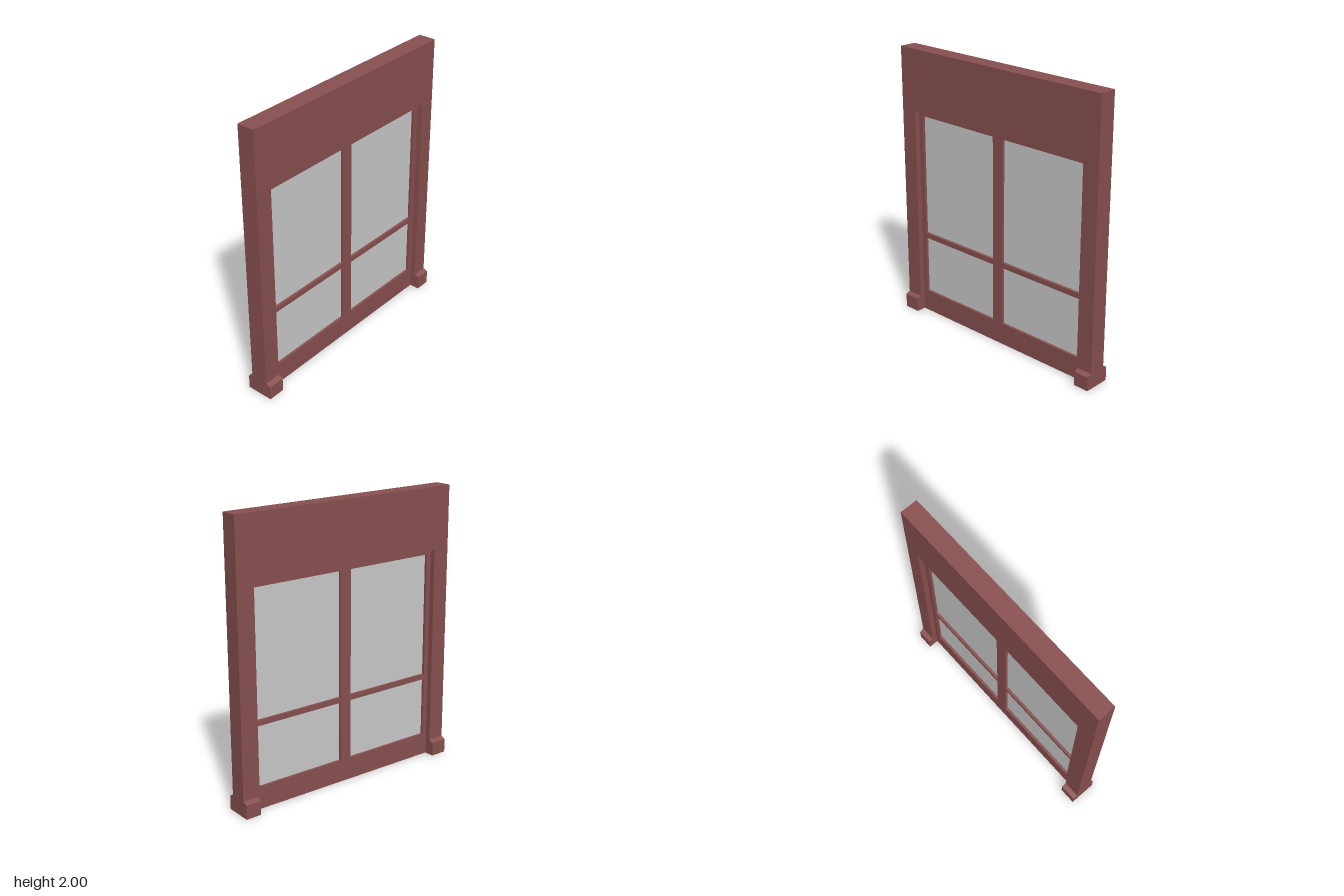
import * as THREE from 'three';

const wood = new THREE.MeshStandardMaterial({ color: 0x8a5050, flatShading: true });
const grey = new THREE.MeshStandardMaterial({ color: 0xcccccc, flatShading: true });

const HALF = 0.88, TOP = 2;              // outer frame
const LEFT = -0.757, RIGHT = 0.768;      // doorway sides
const HEAD = 1.555, PLINTH = 0.115;      // doorway head, plinth height
const WALL_Z = 0.063, PLINTH_Z = 0.097, SASH_Z = 0.024;

const polygon = (pts, Type = THREE.Shape) => new Type(pts.map(([x, y]) => new THREE.Vector2(x, y)));
const rect = (x0, x1, y0, y1) => [[x0, y0], [x1, y0], [x1, y1], [x0, y1]];

// Extrude a shape so that it is centred on z = 0
function slab(shape, depth) {
  const g = new THREE.ExtrudeGeometry(shape, { depth, bevelEnabled: false });
  return g.translate(0, 0, -depth / 2);
}

export function createModel() {
  const model = new THREE.Group();
  model.name = 'doorway';
  const add = (name, geometry, material) => {
    const mesh = new THREE.Mesh(geometry, material);
    mesh.name = name;
    model.add(mesh);
    return mesh;
  };

  // Piers and deep lintel in one piece
  add('surround', slab(polygon([
    [-HALF, PLINTH], [LEFT, PLINTH], [LEFT, HEAD], [RIGHT, HEAD],
    [RIGHT, PLINTH], [HALF, PLINTH], [HALF, TOP], [-HALF, TOP],
  ]), WALL_Z * 2), wood);

  // Chamfered plinth under each pier: profile in z and y, run along x
  const profile = polygon([
    [-PLINTH_Z, 0], [PLINTH_Z, 0], [PLINTH_Z, 0.1],
    [WALL_Z, PLINTH], [-WALL_Z, PLINTH], [-PLINTH_Z, 0.1],
  ]);
  for (const [name, x0, x1] of [['rightPlinth', -HALF, LEFT], ['leftPlinth', RIGHT, HALF]]) {
    const g = slab(profile, x1 - x0).rotateY(Math.PI / 2);
    add(name, g.translate((x0 + x1) / 2, 0, 0), wood);
  }

  // Recessed frame with four panes
  const frame = polygon(rect(LEFT, RIGHT, 0, HEAD));
  for (const [x0, x1] of [[-0.72, -0.04], [0.047, 0.727]]) {
    for (const [y0, y1] of [[0.16, 0.592], [0.63, 1.52]]) {
      frame.holes.push(polygon(rect(x0, x1, y0, y1), THREE.Path));
      const pane = add('pane', new THREE.BoxGeometry(x1 - x0, y1 - y0, 0.01), grey);
      pane.position.set((x0 + x1) / 2, (y0 + y1) / 2, 0);
    }
  }
  add('windowFrame', slab(frame, SASH_Z * 2), wood);

  return model;
}
